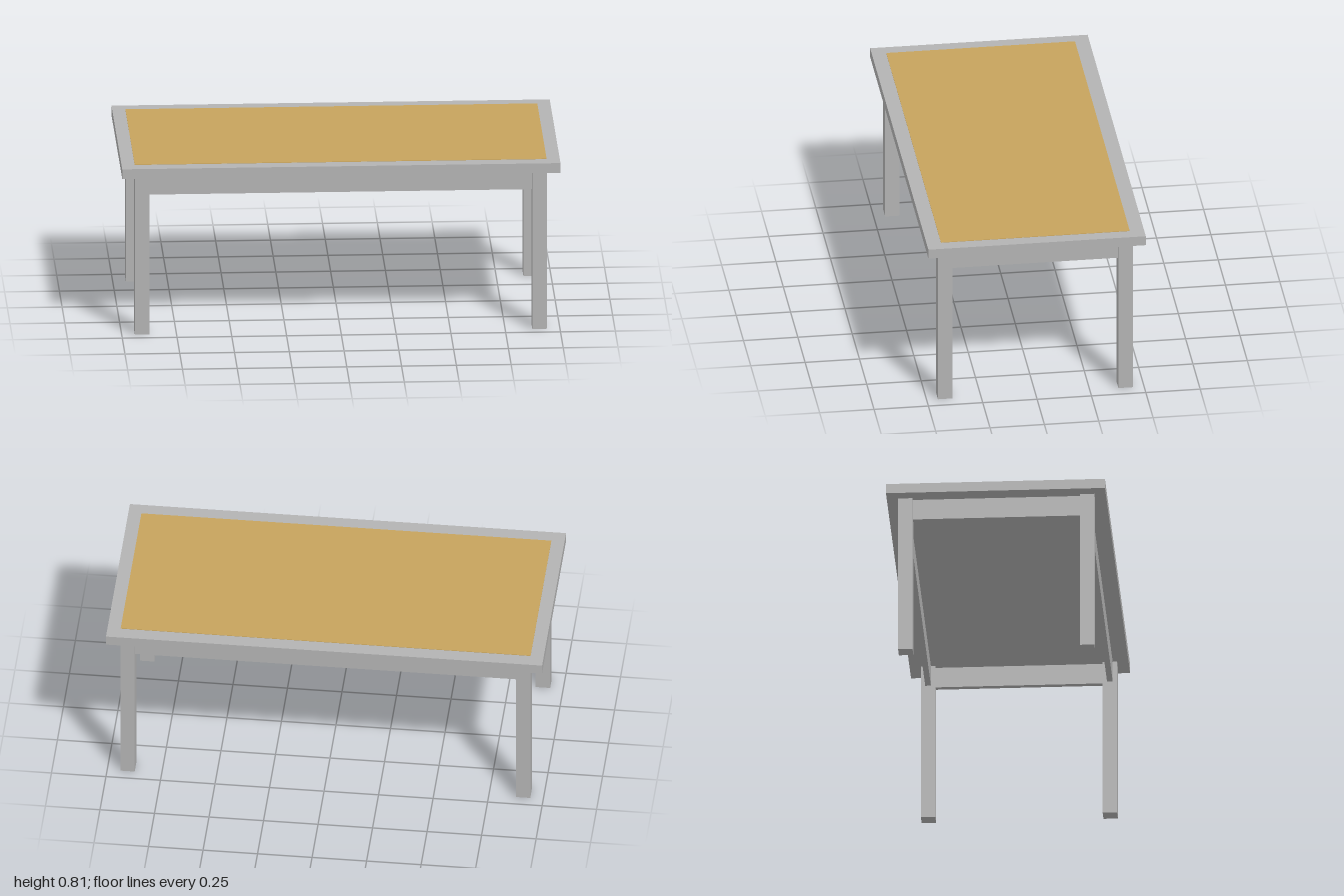
import * as THREE from 'three';

export function createModel() {
  const model = new THREE.Group();
  model.name = 'table';

  const grey = new THREE.MeshStandardMaterial({ color: 0xb3b3b3 });
  grey.name = 'grey frame';
  const ochre = new THREE.MeshStandardMaterial({ color: 0xc6a35d });
  ochre.name = 'ochre inlay';

  const box = (name, material, size, position) => {
    const mesh = new THREE.Mesh(new THREE.BoxGeometry(...size), material);
    mesh.name = name;
    mesh.position.set(...position);
    model.add(mesh);
  };

  const legW = 0.066, legH = 0.758;
  const legX = 0.907, legZ = 0.415; // leg centres
  const apronH = 0.098, apronT = 0.026;
  const apronY = legH - apronH / 2;

  // Table top with a thin coloured panel
  box('tableTop', grey, [2, 0.046, 1], [0, legH + 0.023, 0]);
  box('topPanel', ochre, [1.88, 0.002, 0.868], [0, 0.805, 0]);

  // Legs, and aprons centred between them
  for (const s of [-1, 1]) {
    const side = s > 0 ? 'left' : 'right';
    const end = s > 0 ? 'front' : 'back';
    for (const t of [-1, 1]) {
      box(`${side}${t > 0 ? 'Front' : 'Back'}Leg`, grey, [legW, legH, legW], [s * legX, legH / 2, t * legZ]);
    }
    box(`${end}Apron`, grey, [2 * legX - legW, apronH, apronT], [0, apronY, s * legZ]);
    box(`${side}Apron`, grey, [apronT, apronH, 2 * legZ - legW], [s * legX, apronY, 0]);
  }

  return model;
}
